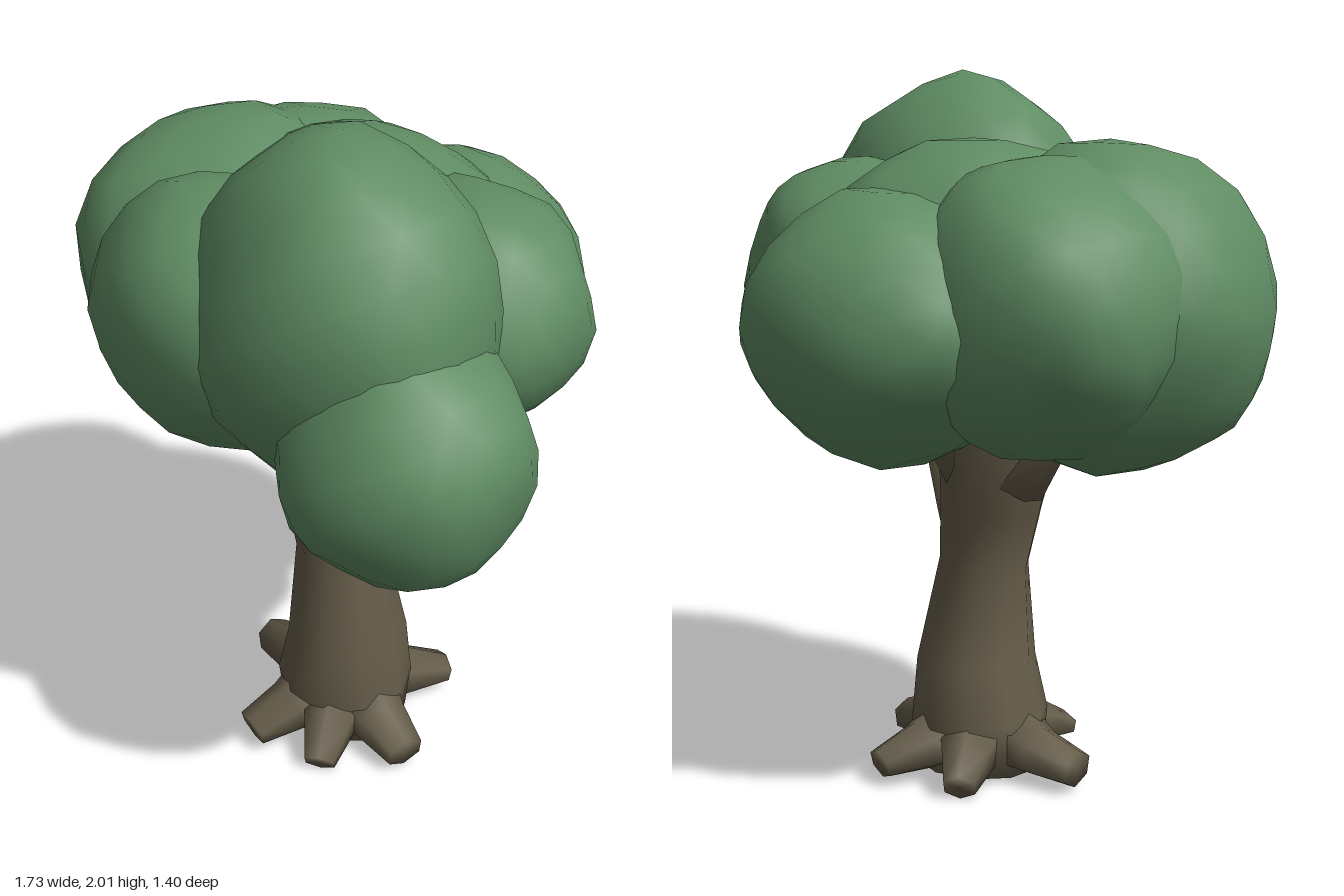
import * as THREE from 'three';
import { mergeVertices } from 'three/addons/utils/BufferGeometryUtils.js';

const bark = new THREE.MeshStandardMaterial({ color: 0x665d4a });
bark.name = 'bark brown';
const leaf = new THREE.MeshStandardMaterial({ color: 0x5f8c63 });
leaf.name = 'leaf green';

// Closed limb through elliptical sections [x, y, z, side radius, other radius]
function limb(sections, ref, sides = 8) {
  const centres = sections.map(s => new THREE.Vector3(s[0], s[1], s[2]));
  const pos = [], index = [], last = sections.length - 1;
  sections.forEach(([, , , a, b], i) => {
    const t = centres[Math.min(i + 1, last)].clone().sub(centres[Math.max(i - 1, 0)]).normalize();
    const side = t.clone().cross(ref).normalize();
    const other = side.clone().cross(t);
    for (let j = 0; j < sides; j++) {
      const angle = (j + 0.5) / sides * Math.PI * 2;
      const p = centres[i].clone()
        .addScaledVector(side, a * Math.cos(angle))
        .addScaledVector(other, b * Math.sin(angle));
      pos.push(p.x, p.y, p.z);
      const k = (j + 1) % sides, r = i * sides;
      if (i < last) index.push(r + j, r + sides + j, r + k, r + k, r + sides + j, r + sides + k);
    }
  });
  const start = pos.length / 3, end = start + 1;
  pos.push(...centres[0].toArray(), ...centres[last].toArray());
  for (let j = 0; j < sides; j++) {
    const k = (j + 1) % sides, r = last * sides;
    index.push(start, j, k, end, r + k, r + j);
  }
  const g = new THREE.BufferGeometry();
  g.setAttribute('position', new THREE.Float32BufferAttribute(pos, 3));
  g.setIndex(index);
  g.computeVertexNormals();
  return g;
}

// Lumpy, smooth-shaded leaf clump
function clump([x, y, z, rx, ry, rz], seed) {
  let g = new THREE.IcosahedronGeometry(1, 3);
  g.deleteAttribute('normal');
  g.deleteAttribute('uv');
  g = mergeVertices(g, 1e-4);
  const p = g.attributes.position, v = new THREE.Vector3();
  for (let i = 0; i < p.count; i++) {
    v.fromBufferAttribute(p, i);
    const bump = Math.sin(v.x * 4.1 + seed * 1.7) * Math.sin(v.y * 4.7 + seed * 2.3)
      + Math.sin(v.z * 5.3 + seed * 3.1) * Math.sin(v.x * 3.7 - v.y * 4 + seed);
    v.multiplyScalar(1 + 0.035 * bump);
    p.setXYZ(i, x + v.x * rx, y + v.y * ry, z + v.z * rz);
  }
  g.computeVertexNormals();
  return g;
}

export function createModel() {
  const tree = new THREE.Group();
  tree.name = 'tree';
  const add = (name, geometry, material) => {
    const mesh = new THREE.Mesh(geometry, material);
    mesh.name = name;
    tree.add(mesh);
  };
  const up = new THREE.Vector3(0, 1, 0), front = new THREE.Vector3(0, 0, 1);

  // Trunk, flared at the foot and widening again under the crown
  add('trunk', limb([
    [0, 0.02, 0.08, 0.19, 0.18],
    [0, 0.16, 0.08, 0.2, 0.2],
    [0.015, 0.33, 0.08, 0.165, 0.18],
    [-0.01, 0.62, 0.085, 0.135, 0.125],
    [-0.05, 0.8, 0.075, 0.15, 0.145],
    [-0.1, 1.02, 0.06, 0.175, 0.18],
    [-0.11, 1.2, 0.06, 0.18, 0.19],
  ], front, 10), bark);

  // Branches reaching into the crown
  const branches = {
    leftBranch: [[0.02, 0.58, 0.09, 0.08, 0.08], [0.11, 0.76, 0.11, 0.075, 0.075],
      [0.26, 0.97, 0.17, 0.06, 0.06], [0.42, 1.15, 0.24, 0.05, 0.05]],
    backBranch: [[-0.05, 0.88, 0.02, 0.1, 0.09], [-0.03, 1.03, -0.08, 0.08, 0.08],
      [0, 1.2, -0.22, 0.06, 0.06]],
    rightBranch: [[-0.15, 0.88, 0.06, 0.1, 0.1], [-0.24, 1.0, 0.08, 0.08, 0.08],
      [-0.38, 1.12, 0.1, 0.06, 0.06]],
    middleBranch: [[-0.03, 0.95, 0.1, 0.1, 0.1], [0.03, 1.12, 0.12, 0.07, 0.07],
      [0.08, 1.3, 0.15, 0.05, 0.05]],
  };
  for (const [name, sections] of Object.entries(branches)) add(name, limb(sections, front), bark);

  // Roots: blunt tips spread around the foot [x, y, z, half width, half height]
  const roots = [
    [0.33, 0.065, 0.1, 0.06, 0.05], [-0.355, 0.07, 0.11, 0.06, 0.055],
    [-0.03, 0.06, 0.4, 0.07, 0.035], [0.08, 0.06, -0.24, 0.06, 0.04],
    [0.19, 0.035, 0.31, 0.05, 0.035], [-0.17, 0.04, -0.17, 0.05, 0.04],
  ];
  roots.forEach(([x, y, z, w, h], i) => {
    const at = (f, yy, ww, hh) => [x * f, yy, 0.08 + (z - 0.08) * f, ww, hh];
    add('root' + (i + 1), limb([
      at(0.25, 0.13, 0.12, 0.11), at(0.6, 0.09, 0.085, 0.075), at(1, y, w, h),
    ], up, 6), bark);
  });

  // Crown: overlapping leaf clumps [x, y, z, rx, ry, rz]
  const clumps = {
    topClump: [0.25, 1.52, 0.25, 0.43, 0.48, 0.37],
    rightClump: [-0.42, 1.37, 0.14, 0.44, 0.44, 0.46],
    frontClump: [-0.1, 1.42, 0.36, 0.43, 0.36, 0.34],
    lowLeftClump: [0.52, 1.27, 0.27, 0.34, 0.34, 0.32],
    backClump: [-0.08, 1.33, -0.33, 0.42, 0.36, 0.38],
    backRightClump: [-0.44, 1.38, -0.12, 0.39, 0.39, 0.37],
    backLeftClump: [0.24, 1.45, -0.13, 0.37, 0.32, 0.33],
    middleClump: [-0.1, 1.48, -0.05, 0.42, 0.34, 0.4],
  };
  Object.entries(clumps).forEach(([name, c], i) => add(name, clump(c, i + 1), leaf));
  return tree;
}
